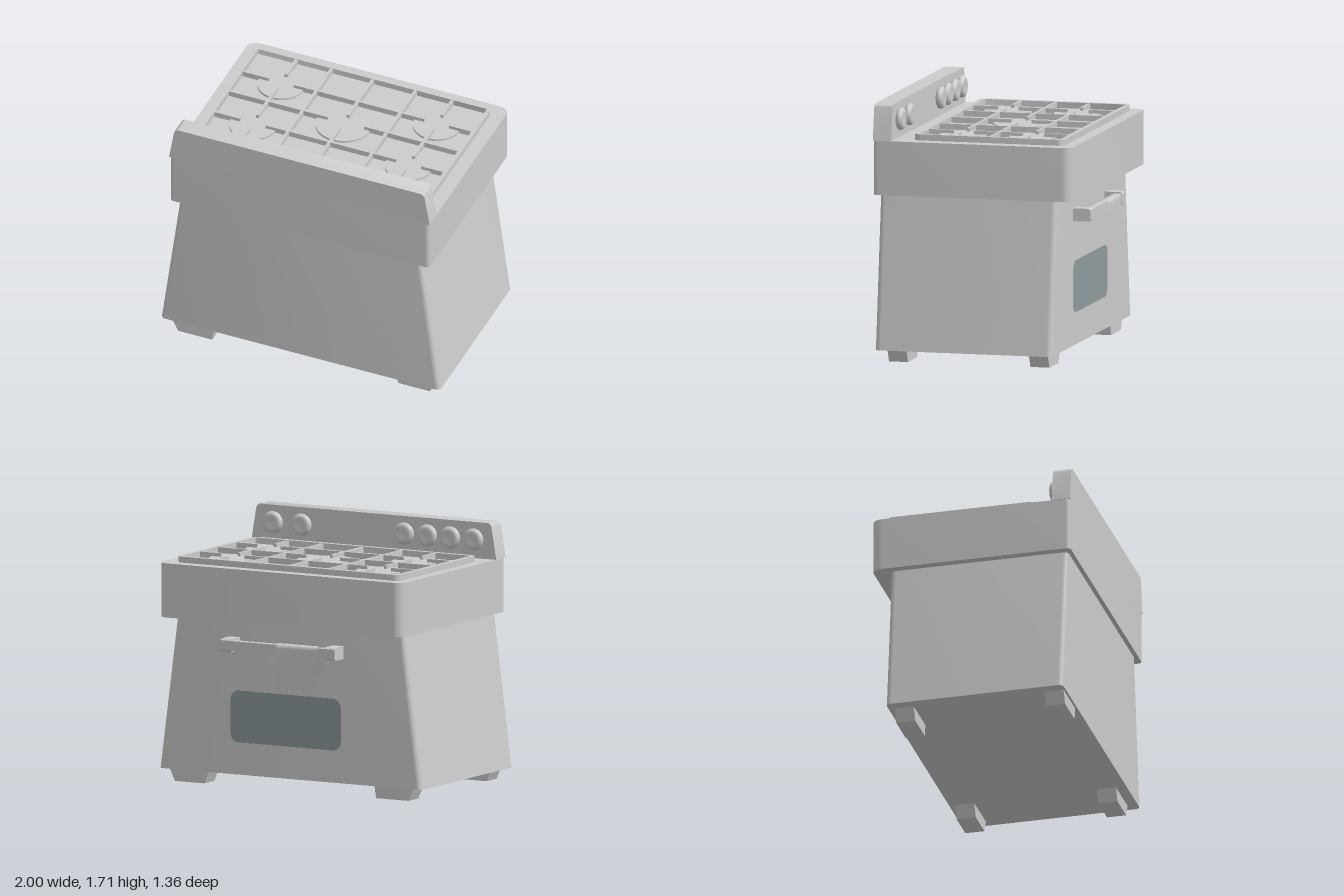
import * as THREE from 'three';
import { toCreasedNormals } from 'three/addons/utils/BufferGeometryUtils.js';

const grey = new THREE.MeshStandardMaterial({ color: 0xcccccc });
const glass = new THREE.MeshStandardMaterial({ color: 0x8f9a9c });
const cloth = new THREE.MeshStandardMaterial({ color: 0xcccccc, side: THREE.DoubleSide });

// Rounded rectangle; rLow rounds the corners at b0, rHigh those at b1
function roundedRect(a0, a1, b0, b1, rLow, rHigh = rLow, Type = THREE.Shape) {
  const s = new Type();
  s.moveTo(a0 + rLow, b0);
  s.lineTo(a1 - rLow, b0);
  s.absarc(a1 - rLow, b0 + rLow, rLow, -Math.PI / 2, 0);
  s.absarc(a1 - rHigh, b1 - rHigh, rHigh, 0, Math.PI / 2);
  s.absarc(a0 + rHigh, b1 - rHigh, rHigh, Math.PI / 2, Math.PI);
  s.absarc(a0 + rLow, b0 + rLow, rLow, Math.PI, Math.PI * 1.5);
  return s;
}

const polygon = (pts) => new THREE.Shape(pts.map(([x, y]) => new THREE.Vector2(x, y)));

// Plan shape (x, -z) raised from y0 to y1
function raise(shape, y0, y1) {
  return new THREE.ExtrudeGeometry(shape, { depth: y1 - y0, bevelEnabled: false, curveSegments: 8 })
    .rotateX(-Math.PI / 2).translate(0, y0, 0);
}

// Elevation shape (x, y) extruded from z0 to z1
function extrudeZ(shape, z0, z1) {
  return new THREE.ExtrudeGeometry(shape, { depth: z1 - z0, bevelEnabled: false, curveSegments: 8 })
    .translate(0, 0, z0);
}

function add(parent, name, geometry, material = grey) {
  const mesh = new THREE.Mesh(geometry, material);
  mesh.name = name;
  parent.add(mesh);
  return mesh;
}

function box(parent, name, x0, x1, y0, y1, z0, z1) {
  const m = add(parent, name, new THREE.BoxGeometry(x1 - x0, y1 - y0, z1 - z0));
  m.position.set((x0 + x1) / 2, (y0 + y1) / 2, (z0 + z1) / 2);
  return m;
}

function subgroup(parent, name) {
  const g = new THREE.Group();
  g.name = name;
  parent.add(g);
  return g;
}

export function createModel() {
  const stove = new THREE.Group();
  stove.name = 'stove';

  // Oven body, narrowing towards the top
  const Y0 = 0.085, Y1 = 1.11;
  const body = raise(roundedRect(-1, 1, -0.65, 0.555, 0.035), Y0, Y1);
  const p = body.attributes.position;
  for (let i = 0; i < p.count; i++) {
    const t = (p.getY(i) - Y0) / (Y1 - Y0);
    p.setX(i, p.getX(i) * (1 - 0.135 * t));
  }
  add(stove, 'ovenBody', toCreasedNormals(body, 0.6));

  // Overhanging upper housing
  add(stove, 'upperHousing',
    toCreasedNormals(raise(roundedRect(-0.922, 0.938, -0.68, 0.674, 0.03, 0.07), Y1, 1.47), 0.6));

  // Control panel with sloping ends and softened top corners
  const panel = polygon([[-0.925, 1.47], [0.94, 1.47], [0.905, 1.68], [0.898, 1.698], [0.88, 1.71],
    [-0.865, 1.71], [-0.882, 1.698], [-0.89, 1.68]]);
  add(stove, 'controlPanel', toCreasedNormals(extrudeZ(panel, 0.555, 0.68), 0.6));

  // Control knobs
  const knobs = subgroup(stove, 'knobs');
  const knobProfile = [[0, 0.042], [0.036, 0.044], [0.05, 0.046], [0.062, 0.042], [0.071, 0.032],
    [0.074, 0.02], [0.07, 0.008], [0.06, 0]].reverse().map(([r, h]) => new THREE.Vector2(r, h));
  const knobGeometry = new THREE.LatheGeometry(knobProfile, 24).rotateX(-Math.PI / 2);
  for (const x of [-0.762, -0.585, -0.41, -0.233, 0.548, 0.767])
    add(knobs, 'knob', knobGeometry).position.set(x, 1.597, 0.555);

  // Raised rim around the cooktop
  const cooktop = subgroup(stove, 'cooktop');
  const rim = roundedRect(-0.853, 0.845, -0.43, 0.595, 0.05);
  rim.holes.push(roundedRect(-0.82, 0.818, -0.395, 0.565, 0.01, 0.01, THREE.Path));
  add(cooktop, 'cooktopRim', toCreasedNormals(raise(rim, 1.47, 1.51), 0.6));

  // Burners
  const L = -0.545, R = 0.57, M = 0.002, F = -0.315, B = 0.157, C = -0.085;
  for (const [x, z, r] of [[L, F, 0.16], [R, F, 0.16], [L, B, 0.16], [R, B, 0.16], [M, C, 0.19]])
    add(cooktop, 'burner', new THREE.CylinderGeometry(r, r, 0.016, 40)).position.set(x, 1.477, z);

  // Grate bars, left open over each burner
  const x0 = -0.825, x1 = 0.823, z0 = -0.57, z1 = 0.4, w = 0.01, sideL = -0.294, sideR = 0.307;
  const barX = (z, a, b) => box(cooktop, 'grateBar', a, b, 1.465, 1.508, z - w, z + w);
  const barZ = (x, a, b) => box(cooktop, 'grateBar', x - w, x + w, 1.465, 1.508, a, b);
  barZ(sideL, z0, z1);
  barZ(sideR, z0, z1);
  for (const x of [L, R]) {
    barZ(x, z0, F - 0.075);
    barZ(x, F + 0.07, B - 0.07);
    barZ(x, B + 0.07, z1);
  }
  barZ(M, z0, C - 0.065);
  barZ(M, C + 0.075, z1);
  for (const z of [F, B]) {
    barX(z, x0, L - 0.09);
    barX(z, L + 0.09, R - 0.09);
    barX(z, R + 0.09, x1);
  }
  barX(C, x0, M - 0.115);
  barX(C, M + 0.145, x1);

  // Oven window
  add(stove, 'ovenWindow',
    toCreasedNormals(extrudeZ(roundedRect(-0.39, 0.45, 0.3, 0.645, 0.06), -0.558, -0.54), 0.6), glass);

  // Door handle with a bracket at each end
  const handle = subgroup(stove, 'doorHandle');
  box(handle, 'handleBar', -0.41, 0.46, 0.925, 0.99, -0.672, -0.625);
  const bracket = polygon([[-0.54, 0.915], [-0.54, 1], [-0.662, 1], [-0.674, 0.99], [-0.674, 0.925], [-0.662, 0.915]]);
  for (const x of [-0.41, 0.38]) {
    // Side profile (z, y) turned to run along x
    const g = extrudeZ(bracket, 0, 0.08).rotateY(-Math.PI / 2).translate(x + 0.08, 0, 0);
    add(handle, 'handleBracket', g);
  }

  // Towel draped over the handle: a thin strip following a path
  const path = [[-0.681, 0.7], [-0.681, 0.85], [-0.681, 0.97], [-0.677, 0.988], [-0.665, 0.997],
    [-0.632, 0.997], [-0.62, 0.988], [-0.616, 0.97], [-0.614, 0.8]];
  const towel = new THREE.PlaneGeometry(0.305, 1, 1, path.length - 1);
  const tp = towel.attributes.position;
  for (let i = 0; i < tp.count; i++) {
    const [z, y] = path[Math.floor(i / 2)];
    tp.setXYZ(i, tp.getX(i) - 0.122, y, z);
  }
  towel.computeVertexNormals();
  add(stove, 'towel', towel, cloth);

  // Feet with sloping ends
  const leftFoot = [[0.675, 0], [0.9, 0], [0.94, Y0], [0.64, Y0]];
  const rightFoot = [[-0.88, 0], [-0.635, 0], [-0.62, Y0], [-0.92, Y0]];
  for (const [pts, z] of [[leftFoot, -0.515], [rightFoot, -0.515], [leftFoot, 0.45], [rightFoot, 0.505]])
    add(stove, 'foot', extrudeZ(polygon(pts), z, z + 0.13));

  return stove;
}
